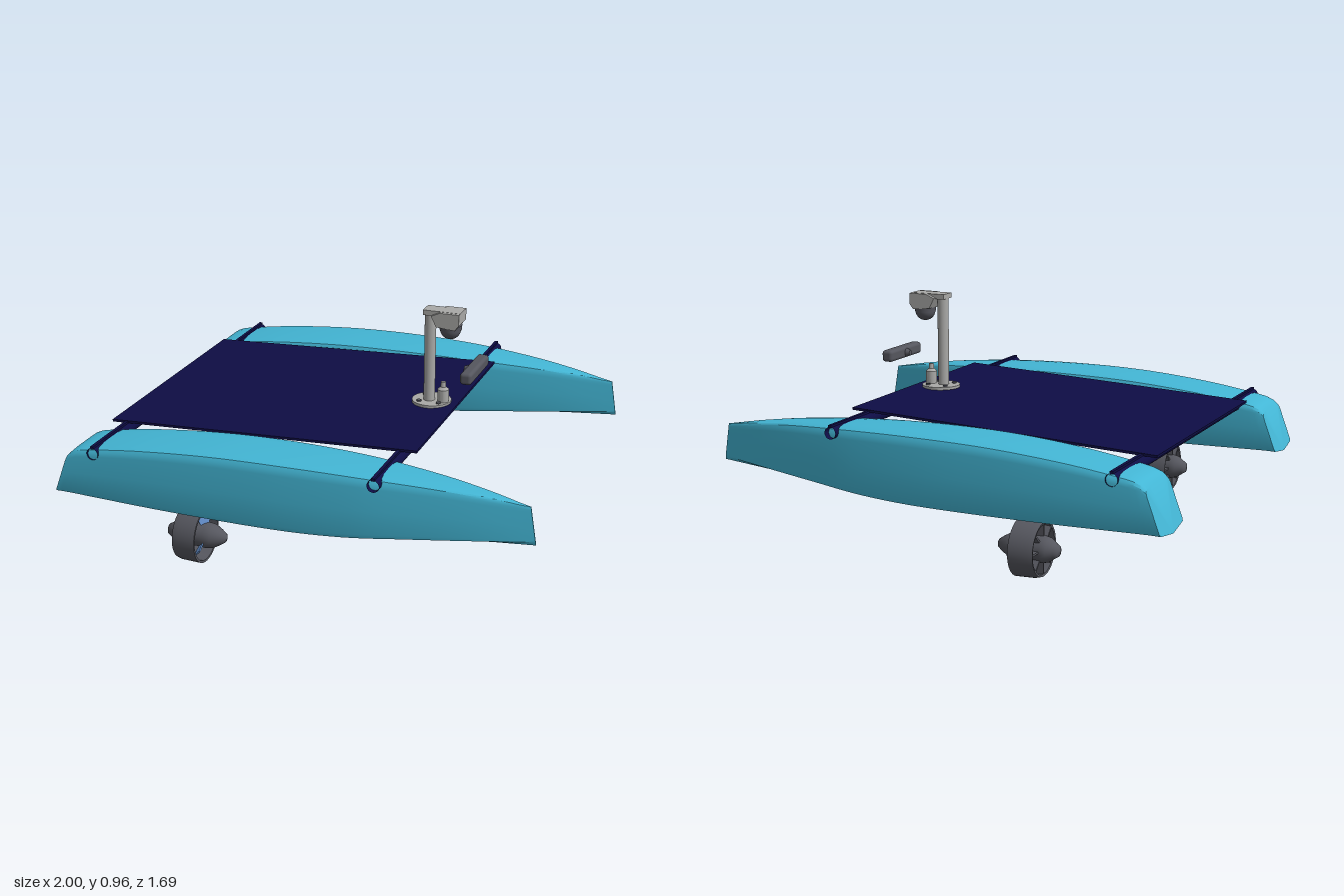
import * as THREE from 'three';
import { toCreasedNormals } from 'three/addons/utils/BufferGeometryUtils.js';
import { RoundedBoxGeometry } from 'three/addons/geometries/RoundedBoxGeometry.js';

const mat = (name, color, side = THREE.FrontSide) =>
  Object.assign(new THREE.MeshStandardMaterial({ color, side }), { name });

export function createModel() {
  const root = new THREE.Group();
  root.name = 'catamaran';
  const M = {
    hull: mat('hull cyan', 0x43b6d5),
    navy: mat('deck navy', 0x0e0d45, THREE.DoubleSide),
    grey: mat('light grey', 0xa9a9a7),
    dark: mat('dark grey', 0x55565e, THREE.DoubleSide),
    blue: mat('propeller blue', 0x6c9bdc, THREE.DoubleSide),
  };
  const add = (parent, name, geo, material, x = 0, y = 0, z = 0) => {
    const m = new THREE.Mesh(geo, material);
    m.name = name;
    m.position.set(x, y, z);
    parent.add(m);
    return m;
  };
  const cyl = (r1, r2, h, n = 32, open = false) => new THREE.CylinderGeometry(r1, r2, h, n, 1, open);
  const alongX = (g) => g.rotateZ(-Math.PI / 2);
  const alongZ = (g) => g.rotateX(Math.PI / 2);

  // smooth lookup through [x, value] pairs
  const curve = (pts) => (x) => {
    let i = 0;
    while (i < pts.length - 2 && x > pts[i + 1][0]) i++;
    const [a, b] = [pts[i], pts[i + 1]];
    const p = pts[Math.max(i - 1, 0)], q = pts[Math.min(i + 2, pts.length - 1)];
    const h = b[0] - a[0], t = Math.min(Math.max((x - a[0]) / h, 0), 1);
    const m0 = (b[1] - p[1]) / (b[0] - p[0]) * h, m1 = (q[1] - a[1]) / (q[0] - a[0]) * h;
    return (2 * t ** 3 - 3 * t * t + 1) * a[1] + (t ** 3 - 2 * t * t + t) * m0
      + (3 * t * t - 2 * t ** 3) * b[1] + (t ** 3 - t * t) * m1;
  };

  // hulls: sections lofted from the raked transom to the bow
  const sheer = curve([[-0.93, 0.44], [-0.9, 0.465], [-0.83, 0.482], [-0.6, 0.515], [-0.3, 0.54],
    [0, 0.547], [0.3, 0.541], [0.6, 0.522], [0.8, 0.499], [0.975, 0.47]]);
  const keel = curve([[-1, 0.253], [-0.5, 0.239], [0, 0.236], [0.25, 0.246], [0.5, 0.27], [1, 0.314]]);
  const beam = curve([[-1, 0.122], [-0.6, 0.135], [-0.3, 0.139], [0, 0.136], [0.3, 0.119],
    [0.5, 0.094], [0.75, 0.053], [1, 0.003]]);
  const half = [[0.5, 0.045], [0.96, 0.09], [1, 0.15], [1, 0.5], [1, 0.84], [0.98, 0.91],
    [0.92, 0.96], [0.8, 0.985], [0.5, 0.997]];
  const section = [[0, 0], ...half, [0, 1], ...half.map(([u, v]) => [-u, v]).reverse()];
  function hullGeometry() {
    const N = 48, n = section.length, pos = [], idx = [];
    for (let i = 0; i <= N; i++) {
      const t = (i / N) ** 1.15;
      const xb = -1 + 2 * t, xt = -0.93 + 1.905 * t;
      for (const [u, v] of section) {
        pos.push(xb + (xt - xb) * v, keel(xb) + (sheer(xt) - keel(xb)) * v, u * beam(xb));
      }
    }
    for (let i = 0; i < N; i++) for (let j = 0; j < n; j++) {
      const a = i * n + j, b = i * n + (j + 1) % n;
      idx.push(a, a + n, b + n, a, b + n, b);
    }
    for (let j = 1; j < n - 1; j++) {
      idx.push(0, j, j + 1, N * n, N * n + j + 1, N * n + j);
    }
    const g = new THREE.BufferGeometry();
    g.setAttribute('position', new THREE.Float32BufferAttribute(pos, 3));
    g.setIndex(idx);
    return toCreasedNormals(g, 0.5);
  }
  const hullGeo = hullGeometry();

  // ducted thruster, axis along x
  function thruster(turn) {
    const g = new THREE.Group();
    g.name = 'thruster';
    const duct = [[0.1, -0.05], [0.108, -0.052], [0.114, -0.03], [0.117, 0.05], [0.107, 0.05], [0.1, -0.05]]
      .map(([r, y]) => new THREE.Vector2(r, y));
    add(g, 'duct', toCreasedNormals(alongX(new THREE.LatheGeometry(duct, 40)), 0.6), M.dark);
    const pod = [[0, -0.118], [0.022, -0.114], [0.03, -0.1], [0.048, -0.075], [0.054, -0.05], [0.05, 0.03],
      [0.054, 0.055], [0.05, 0.085], [0.034, 0.115], [0.018, 0.138], [0, 0.145]]
      .map(([r, y]) => new THREE.Vector2(r, y));
    add(g, 'motorPod', alongX(new THREE.LatheGeometry(pod, 28)), M.dark);
    for (let i = 0; i < 8; i++) {
      const a = i * Math.PI / 4;
      const s = add(g, 'spoke', new THREE.BoxGeometry(0.03, 0.07, 0.008), M.dark,
        -0.035, 0.073 * Math.cos(a), 0.073 * Math.sin(a));
      s.rotation.x = a;
    }
    const blade = new THREE.Shape();
    blade.moveTo(-0.014, 0.04);
    blade.bezierCurveTo(-0.035, 0.07, -0.03, 0.09, -0.016, 0.098);
    blade.lineTo(0.024, 0.094);
    blade.bezierCurveTo(0.026, 0.08, 0.02, 0.06, 0.014, 0.04);
    for (let i = 0; i < 3; i++) {
      const hub = new THREE.Group();
      hub.name = 'propellerBlade';
      hub.rotation.x = turn + i * Math.PI * 2 / 3;
      hub.position.x = 0.045;
      const b = add(hub, 'blade', new THREE.ExtrudeGeometry(blade, { depth: 0.005, bevelEnabled: false }), M.blue);
      b.rotation.y = Math.PI / 2 - 0.7;
      g.add(hub);
    }
    add(g, 'mountingFoot', new THREE.BoxGeometry(0.07, 0.03, 0.03), M.dark, 0, 0.118, 0);
    return g;
  }

  for (const s of [1, -1]) {
    add(root, s > 0 ? 'frontHull' : 'rearHull', hullGeo, M.hull, 0, 0, s * 0.707);
    const t = thruster(s > 0 ? 0 : Math.PI / 6);
    t.position.set(-0.425, 0.12, s * 0.707);
    root.add(t);
  }

  // cross beams with a raised track along the top
  for (const [x, y] of [[-0.805, 0.465], [0.395, 0.515]]) {
    add(root, 'crossBeam', alongZ(cyl(0.025, 0.025, 1.68, 24, true)), M.navy, x, y, 0);
    add(root, 'beamTrack', new THREE.BoxGeometry(0.014, 0.012, 1.68), M.navy, x, y + 0.027, 0);
  }

  // trampoline deck, rising slightly forward
  const deck = add(root, 'deck', new THREE.BoxGeometry(1.342, 0.01, 1.094), M.navy, -0.2, 0.521, 0);
  deck.rotation.z = 0.043;

  // mast on a bolted flange
  add(root, 'mastFlange', cyl(0.083, 0.083, 0.012, 40), M.grey, 0.355, 0.556, 0.008);
  for (let i = 0; i < 4; i++) {
    const a = Math.PI / 4 + i * Math.PI / 2;
    add(root, 'flangeBolt', cyl(0.01, 0.01, 0.008, 12), M.dark,
      0.355 + 0.06 * Math.cos(a), 0.564, 0.008 + 0.06 * Math.sin(a));
  }
  add(root, 'mast', cyl(0.024, 0.024, 0.4, 28), M.grey, 0.346, 0.755, 0.015);

  // camera head: bracket, housing and dome
  add(root, 'cameraArm', new THREE.BoxGeometry(0.16, 0.022, 0.07), M.grey, 0.402, 0.952, 0.012);
  const house = new THREE.Shape();
  house.moveTo(0.362, 0.945);
  house.lineTo(0.385, 0.9);
  house.lineTo(0.465, 0.893);
  house.lineTo(0.482, 0.915);
  house.lineTo(0.482, 0.962);
  house.lineTo(0.4, 0.962);
  add(root, 'cameraHousing', new THREE.ExtrudeGeometry(house, { depth: 0.104, bevelEnabled: false }),
    M.grey, 0, 0, -0.04);
  add(root, 'cameraCollar', cyl(0.048, 0.046, 0.02, 28), M.dark, 0.432, 0.892, 0.012);
  add(root, 'cameraDome', new THREE.SphereGeometry(0.044, 28, 18), M.dark, 0.432, 0.884, 0.012);

  // small antenna beside the mast
  const antenna = [[0, 0], [0.024, 0], [0.024, 0.055], [0.012, 0.066], [0.01, 0.088], [0, 0.09]]
    .map(([r, y]) => new THREE.Vector2(r, y));
  add(root, 'antenna', toCreasedNormals(new THREE.LatheGeometry(antenna, 24), 0.5), M.grey, 0.407, 0.56, 0.015);

  // sensor bar ahead of the mast
  add(root, 'sensorBar', new RoundedBoxGeometry(0.05, 0.05, 0.268, 3, 0.014), M.dark, 0.525, 0.7, -0.037);
  const nub = add(root, 'sensorMount', cyl(0.012, 0.02, 0.022, 16), M.dark, 0.493, 0.698, -0.037);
  nub.rotation.z = Math.PI / 2;

  return root;
}
